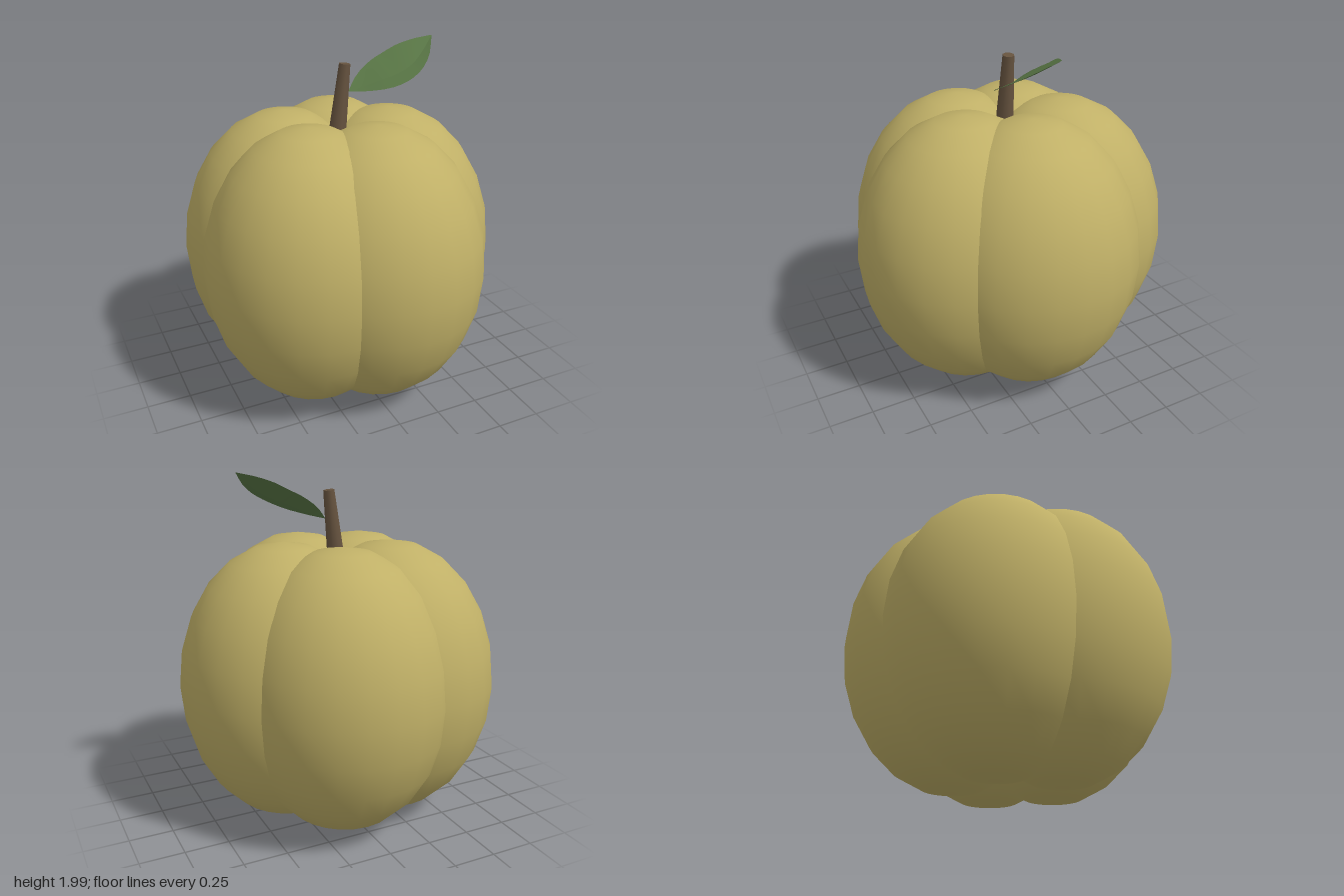
import * as THREE from 'three';

const skin = new THREE.MeshStandardMaterial({ color: 0xc0b067 });
skin.name = 'ochre skin';
const bark = new THREE.MeshStandardMaterial({ color: 0x66533f });
bark.name = 'brown bark';
const foliage = new THREE.MeshStandardMaterial({ color: 0x5c7a48, side: THREE.DoubleSide });
foliage.name = 'leaf green';

// One rib of the fruit: an ellipsoid set off from the core
function createLobe(index) {
  const angle = (index * Math.PI * 2) / 5;
  const lobe = new THREE.Mesh(new THREE.SphereGeometry(1, 24, 12), skin);
  lobe.name = 'lobe' + (index + 1);
  lobe.scale.set(0.603, 0.806, 0.626);
  lobe.position.set(-0.03 + 0.315 * Math.cos(angle), 0.812, 0.315 * Math.sin(angle));
  return lobe;
}

// Tapered stem leaning to one side
function createStem() {
  const base = new THREE.Vector3(-0.04, 1.48, 0);
  const tip = new THREE.Vector3(0.008, 1.888, 0);
  const axis = tip.clone().sub(base);
  const geometry = new THREE.CylinderGeometry(0.033, 0.053, axis.length(), 8);
  const stem = new THREE.Mesh(geometry, bark);
  stem.name = 'stem';
  stem.position.copy(base).add(tip).multiplyScalar(0.5);
  stem.quaternion.setFromUnitVectors(new THREE.Vector3(0, 1, 0), axis.normalize());
  return stem;
}

// Leaf blade: two edges and a sunken midrib, joined by strips
function createLeaf() {
  const stations = [0.03, 0.1, 0.2, 0.28, 0.37, 0.46, 0.55];
  const backEdge = [[1.73, 0], [1.8, -0.05], [1.865, -0.085], [1.905, -0.087], [1.95, -0.072], [1.98, -0.042], [2, 0]];
  const midrib = [[1.73, 0], [1.755, 0.03], [1.8, 0.085], [1.83, 0.11], [1.872, 0.105], [1.93, 0.06], [2, 0]];
  const frontEdge = [[1.73, 0], [1.745, 0.09], [1.775, 0.185], [1.81, 0.22], [1.855, 0.2], [1.915, 0.13], [2, 0]];
  const steps = 14;
  const sample = (line) => new THREE.CatmullRomCurve3(
    line.map(([y, z], i) => new THREE.Vector3(stations[i], y, z))).getPoints(steps);

  const leaf = new THREE.Group();
  leaf.name = 'leaf';
  const halves = [['leafBackHalf', backEdge, midrib], ['leafFrontHalf', midrib, frontEdge]];
  for (const [name, a, b] of halves) {
    const geometry = new THREE.BufferGeometry().setFromPoints([...sample(a), ...sample(b)]);
    const index = [];
    for (let i = 0; i < steps; i++) {
      const j = i + steps + 1;
      if (i > 0) index.push(i, j, i + 1);
      if (i === 0) index.push(i, j + 1, i + 1);
      else if (i < steps - 1) index.push(i + 1, j, j + 1);
    }
    geometry.setIndex(index);
    geometry.computeVertexNormals();
    const half = new THREE.Mesh(geometry, foliage);
    half.name = name;
    leaf.add(half);
  }
  return leaf;
}

export function createModel() {
  const model = new THREE.Group();
  model.name = 'ribbedFruit';
  for (let i = 0; i < 5; i++) model.add(createLobe(i));
  model.add(createStem(), createLeaf());
  return model;
}
